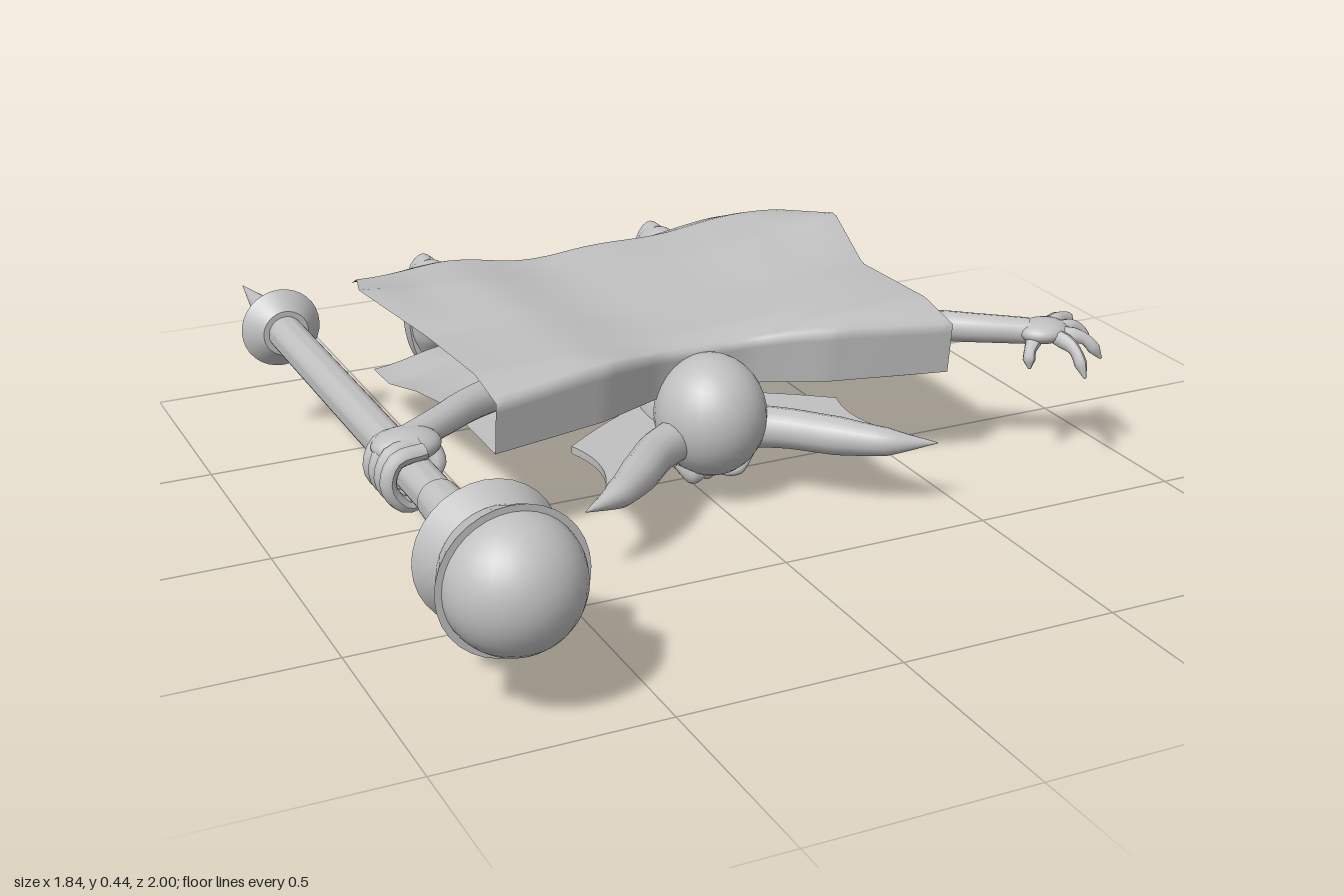
import * as THREE from 'three';
import { toCreasedNormals } from 'three/addons/utils/BufferGeometryUtils.js';

const grey = new THREE.MeshStandardMaterial({ color: 0xc0c0c0 });
grey.name = 'plain grey';
grey.side = THREE.DoubleSide;

const V = (p) => new THREE.Vector3(...p);

// Piecewise linear lookup over [key, value] pairs
function lookup(table, k) {
  let i = 1;
  while (i < table.length - 1 && k > table[i][0]) i++;
  const [k0, v0] = table[i - 1], [k1, v1] = table[i];
  return THREE.MathUtils.lerp(v0, v1, THREE.MathUtils.clamp((k - k0) / (k1 - k0), 0, 1));
}

export function createModel() {
  const model = new THREE.Group();
  model.name = 'lyingFigure';

  const add = (name, geo, parent = model) => {
    const mesh = new THREE.Mesh(geo, grey);
    mesh.name = name;
    parent.add(mesh);
    return mesh;
  };
  const ball = (name, pos, radii, parent) => {
    const geo = new THREE.SphereGeometry(1, 28, 18);
    geo.scale(...radii).translate(...pos);
    return add(name, geo, parent);
  };
  // Tube whose radius changes along its path
  const limb = (name, pts, radii, parent, seg = 20, sides = 14) => {
    const curve = new THREE.CatmullRomCurve3(pts.map(V));
    const geo = new THREE.TubeGeometry(curve, seg, 1, sides);
    const pos = geo.attributes.position, v = new THREE.Vector3();
    for (let i = 0; i <= seg; i++) {
      const c = curve.getPointAt(i / seg);
      const f = (i / seg) * (radii.length - 1), k = Math.min(Math.floor(f), radii.length - 2);
      const r = THREE.MathUtils.lerp(radii[k], radii[k + 1], f - k);
      for (let j = 0; j <= sides; j++) {
        const n = i * (sides + 1) + j;
        v.fromBufferAttribute(pos, n).sub(c).multiplyScalar(r).add(c);
        pos.setXYZ(n, v.x, v.y, v.z);
      }
    }
    geo.computeVertexNormals();
    return add(name, geo, parent);
  };
  // Cloth: rule(u, v) gives a point, u from -1 to 1 across, v from 0 (front) to 1 (back)
  const cloth = (name, rule) => {
    const geo = new THREE.PlaneGeometry(2, 1, 48, 50);
    const pos = geo.attributes.position;
    for (let i = 0; i < pos.count; i++) {
      pos.setXYZ(i, ...rule(pos.getX(i), pos.getY(i) + 0.5));
    }
    geo.computeVertexNormals();
    return add(name, geo);
  };

  // Front line of the garment, from the neck out to the shoulder corner
  const frontLine = [[0.1, 0.075], [0.2, 0.085], [0.5, 0.16], [1, 0.225]];

  // Cape over the back, hanging down in a short panel along its front line
  const capeWidth = [[-0.76, 0.567], [-0.68, 0.575], [-0.47, 0.635], [-0.2, 0.565], [0.23, 0.563]];
  const capeMid = [[-0.76, 0.318], [-0.68, 0.355], [-0.45, 0.358], [-0.2, 0.355], [0, 0.36], [0.08, 0.345]];
  const capeEdge = [[-0.76, 0.345], [-0.68, 0.375], [-0.47, 0.393], [-0.2, 0.38], [0.1, 0.39], [0.225, 0.365]];
  const capeTip = [[-0.72, 0], [-0.47, 0.03], [-0.2, 0.003]];
  cloth('cape', (u, v) => {
    const a = Math.abs(u);
    const front = lookup(frontLine, a);
    const t = Math.max(0, (v - 0.1) / 0.9), drop = Math.max(0, 1 - v / 0.1);
    const z = THREE.MathUtils.lerp(front, -0.76, t);
    const blend = THREE.MathUtils.smoothstep(a, 0.03, 0.6);
    const top = THREE.MathUtils.lerp(lookup(capeMid, z), lookup(capeEdge, z), blend)
      + lookup(capeTip, z) * THREE.MathUtils.smoothstep(a, 0.7, 1)
      + 0.007 * Math.sin(u * 9 + 0.8) * (0.2 + t) + (u > 0 ? 0.012 : -0.008) * a * t;
    return [u * lookup(capeWidth, z) + 0.01, THREE.MathUtils.lerp(top, 0.245, drop), z - 0.015 * drop];
  });

  // Robe under the body, joined to the bottom of the front panel; its sides sag
  const robeMid = [[-0.73, 0.13], [-0.6, 0.185], [-0.35, 0.235], [-0.1, 0.248], [0.21, 0.245]];
  const robeEdge = [[-0.73, 0.12], [-0.58, 0.128], [-0.35, 0.19], [-0.1, 0.24], [0.21, 0.245]];
  cloth('robe', (u, v) => {
    const a = Math.abs(u);
    const z = THREE.MathUtils.lerp(lookup(frontLine, a) - 0.015, -0.72 + 0.02 * Math.cos(u * 5), v);
    const y = THREE.MathUtils.lerp(lookup(robeMid, z), lookup(robeEdge, z), THREE.MathUtils.smoothstep(a, 0.35, 1));
    return [0.01 + u * (0.563 - 0.03 * v), y + 0.01 * Math.sin(u * 8) * v, z];
  });

  // Body
  ball('torso', [0, 0.285, -0.12], [0.17, 0.05, 0.22]);
  ball('hips', [0.015, 0.28, -0.32], [0.15, 0.05, 0.12]);
  limb('neck', [[0, 0.28, 0], [0, 0.25, 0.1]], [0.06, 0.07]);

  // Head, face down
  const head = new THREE.Group();
  head.name = 'head';
  model.add(head);
  ball('skull', [0.005, 0.205, 0.115], [0.128, 0.142, 0.136], head);
  ball('face', [0.005, 0.168, 0.03], [0.115, 0.112, 0.208], head);
  ball('nose', [0.01, 0.058, 0.085], [0.02, 0.026, 0.026], head);
  limb('mouth', [[-0.05, 0.085, -0.055], [0.005, 0.07, -0.075], [0.06, 0.085, -0.055]],
    [0.006, 0.014, 0.006], head);
  ball('chin', [0.005, 0.125, -0.13], [0.045, 0.035, 0.04], head);
  for (const s of [-1, 1]) {
    ball('eye', [s * 0.052, 0.078, 0.115], [0.024, 0.016, 0.02], head);
    limb('brow', [[s * 0.015, 0.066, 0.125], [s * 0.055, 0.072, 0.15], [s * 0.1, 0.11, 0.15]],
      [0.008, 0.015, 0.004], head);
    limb('horn', [[s * 0.08, 0.168, 0.13], [s * 0.16, 0.168, 0.185], [s * 0.24, 0.168, 0.27],
      [s * 0.33, 0.168, 0.355], [s * 0.43, 0.168, 0.41]], [0.05, 0.046, 0.044, 0.032, 0.001], head);
    // Pointed ear beside the horn
    const ear = new THREE.Shape();
    ear.moveTo(0.07, -0.06);
    ear.quadraticCurveTo(0.2, 0, 0.335, 0.11);
    ear.quadraticCurveTo(0.29, 0.24, 0.365, 0.36);
    ear.quadraticCurveTo(0.24, 0.3, 0.08, 0.15);
    const geo = new THREE.ExtrudeGeometry(ear, { depth: 0.018, bevelEnabled: false, curveSegments: 10 });
    geo.rotateX(Math.PI / 2).translate(0, 0.009, 0);
    if (s < 0) geo.rotateZ(Math.PI);
    geo.translate(0, 0.176, 0);
    add('ear', geo, head);
  }

  // Arms, coming out between cape and robe
  for (const s of [-1, 1]) {
    limb('arm', [[s * 0.1, 0.3, -0.04], [s * 0.34, 0.315, 0], [s * 0.56, 0.328, 0.105],
      [s * 0.67, 0.33, 0.185], [s * 0.77, 0.327, 0.245]], [0.045, 0.043, 0.039, 0.036, 0.031]);
  }

  // Open left hand
  const hand = new THREE.Group();
  hand.name = 'openHand';
  model.add(hand);
  ball('palm', [0.8, 0.328, 0.258], [0.062, 0.028, 0.055], hand);
  const fingers = [
    [[0.83, 0.335, 0.24], [0.875, 0.338, 0.228], [0.912, 0.32, 0.215]],
    [[0.84, 0.33, 0.265], [0.885, 0.325, 0.27], [0.918, 0.28, 0.278]],
    [[0.83, 0.325, 0.285], [0.875, 0.315, 0.32], [0.91, 0.268, 0.342]],
    [[0.81, 0.325, 0.29], [0.83, 0.305, 0.345], [0.838, 0.245, 0.385]],
    [[0.775, 0.325, 0.27], [0.745, 0.29, 0.29], [0.74, 0.255, 0.3]],
  ];
  for (const f of fingers) limb('finger', f, [0.018, 0.019, 0.014, 0.015, 0.003], hand, 12, 10);

  // Right hand closed around the staff
  const fist = new THREE.Group();
  fist.name = 'grippingHand';
  model.add(fist);
  ball('fistPalm', [-0.765, 0.325, 0.255], [0.075, 0.035, 0.06], fist);
  for (let i = 0; i < 4; i++) {
    const z = 0.22 + i * 0.036;
    limb('grippingFinger', [[-0.75, 0.335, z], [-0.815, 0.325, z + 0.006], [-0.835, 0.275, z + 0.012],
      [-0.8, 0.225, z + 0.012], [-0.755, 0.22, z + 0.01]], [0.018, 0.019, 0.018, 0.016, 0.004], fist, 14, 10);
  }
  limb('grippingThumb', [[-0.72, 0.325, 0.25], [-0.705, 0.285, 0.275], [-0.73, 0.235, 0.29]],
    [0.022, 0.019, 0.005], fist, 12, 10);

  // Legs and boots, toes pointing down
  for (const [s, x] of [[-1, -0.295], [1, 0.355]]) {
    limb('leg', [[s * 0.08, 0.285, -0.28], [x * 0.55, 0.285, -0.46], [x * 0.78, 0.268, -0.63],
      [x * 0.92, 0.252, -0.76], [x, 0.25, -0.88]], [0.055, 0.05, 0.043, 0.034, 0.034]);
    const boot = new THREE.Group();
    boot.name = 'boot';
    model.add(boot);
    limb('bootUpper', [[x, 0.27, -0.905], [x, 0.19, -0.904], [x, 0.1, -0.928], [x, 0.01, -0.948]],
      [0.05, 0.057, 0.052, 0.014], boot);
    ball('heel', [x, 0.243, -0.908], [0.058, 0.06, 0.086], boot);
    const sole = new THREE.CylinderGeometry(1, 1, 0.05, 32);
    sole.rotateX(Math.PI / 2).scale(0.06, 0.152, 1).translate(x, 0.152, -0.947);
    add('sole', toCreasedNormals(sole, 0.6), boot);
  }

  // Staff along z
  const staff = new THREE.Group();
  staff.name = 'staff';
  staff.position.set(-0.767, 0.28, 0);
  model.add(staff);
  const turned = (name, profile) => {
    const geo = new THREE.LatheGeometry(profile.map(([r, t]) => new THREE.Vector2(r, t)), 32);
    geo.rotateX(Math.PI / 2);
    return add(name, toCreasedNormals(geo, 0.5), staff);
  };
  turned('staffSpike', [[0, -0.997], [0.05, -0.66], [0, -0.66]]);
  turned('staffGuard', [[0.045, -0.665], [0.096, -0.655], [0.055, -0.61], [0, -0.61]]);
  turned('staffShaft', [[0.042, -0.63], [0.042, 0.45], [0.045, 0.45], [0.053, 0.59]]);
  turned('staffCollar', [[0, 0.585], [0.065, 0.585], [0.082, 0.605], [0.152, 0.72], [0.125, 0.782],
    [0.157, 0.86], [0.14, 0.86]]);
  ball('staffOrb', [0, 0, 0.858], [0.143, 0.143, 0.14], staff);

  return model;
}
